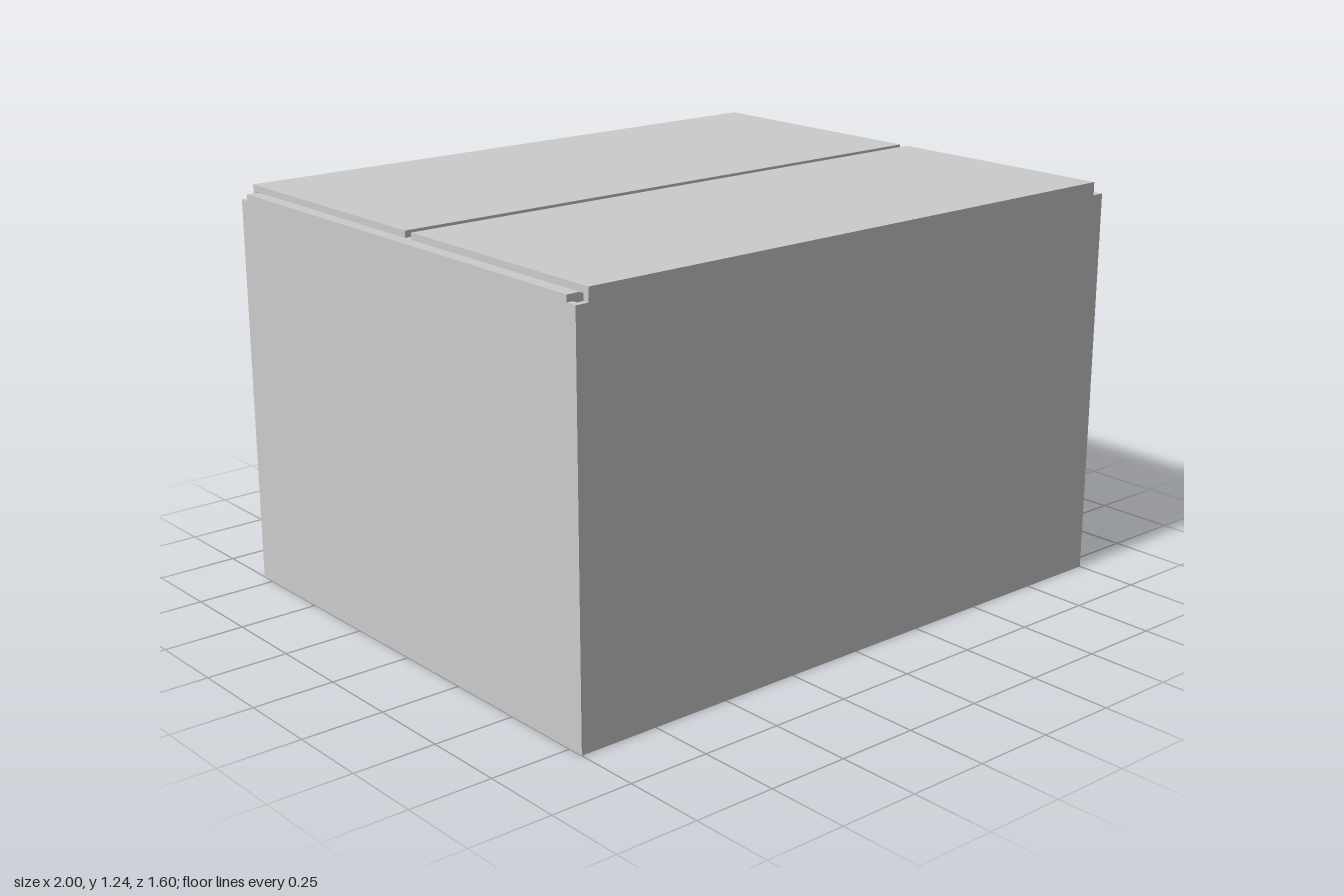
import * as THREE from 'three';

const T = 0.02; // board thickness
const WALL = 1.2; // wall height

export function createModel() {
  const carton = new THREE.Group();
  carton.name = 'carton';
  const material = new THREE.MeshStandardMaterial({ color: 0xcccccc, flatShading: true });

  // Box given by its lower and upper bounds on each axis
  const board = (name, [x0, x1], [y0, y1], [z0, z1]) => {
    const mesh = new THREE.Mesh(new THREE.BoxGeometry(x1 - x0, y1 - y0, z1 - z0), material);
    mesh.position.set((x0 + x1) / 2, (y0 + y1) / 2, (z0 + z1) / 2);
    mesh.name = name;
    carton.add(mesh);
  };

  // Hollow body
  board('bottom', [-1 + T, 1 - T], [0, T], [-0.8 + T, 0.8 - T]);
  board('leftWall', [1 - T, 1], [0, WALL], [-0.8, 0.8]);
  board('rightWall', [-1, -1 + T], [0, WALL], [-0.8, 0.8]);
  board('frontWall', [-1 + T, 1 - T], [0, WALL], [0.8 - T, 0.8]);
  board('backWall', [-1 + T, 1 - T], [0, WALL], [-0.8, -0.8 + T]);

  // Short inner flaps folded in from the sides
  board('leftInnerFlap', [0.385, 1], [WALL, WALL + T], [-0.768, 0.765]);
  board('rightInnerFlap', [-1, -0.335], [WALL, WALL + T], [-0.768, 0.765]);

  // Long outer flaps on top, with the fold that lifts them over the inner flaps
  const width = [-0.96, 0.96];
  board('frontOuterFlap', width, [WALL + T, WALL + 2 * T], [0.035, 0.8]);
  board('backOuterFlap', width, [WALL + T, WALL + 2 * T], [-0.8, 0.005]);
  board('frontFold', width, [WALL, WALL + T], [0.8 - T, 0.8]);
  board('backFold', width, [WALL, WALL + T], [-0.8, -0.8 + T]);

  return carton;
}
